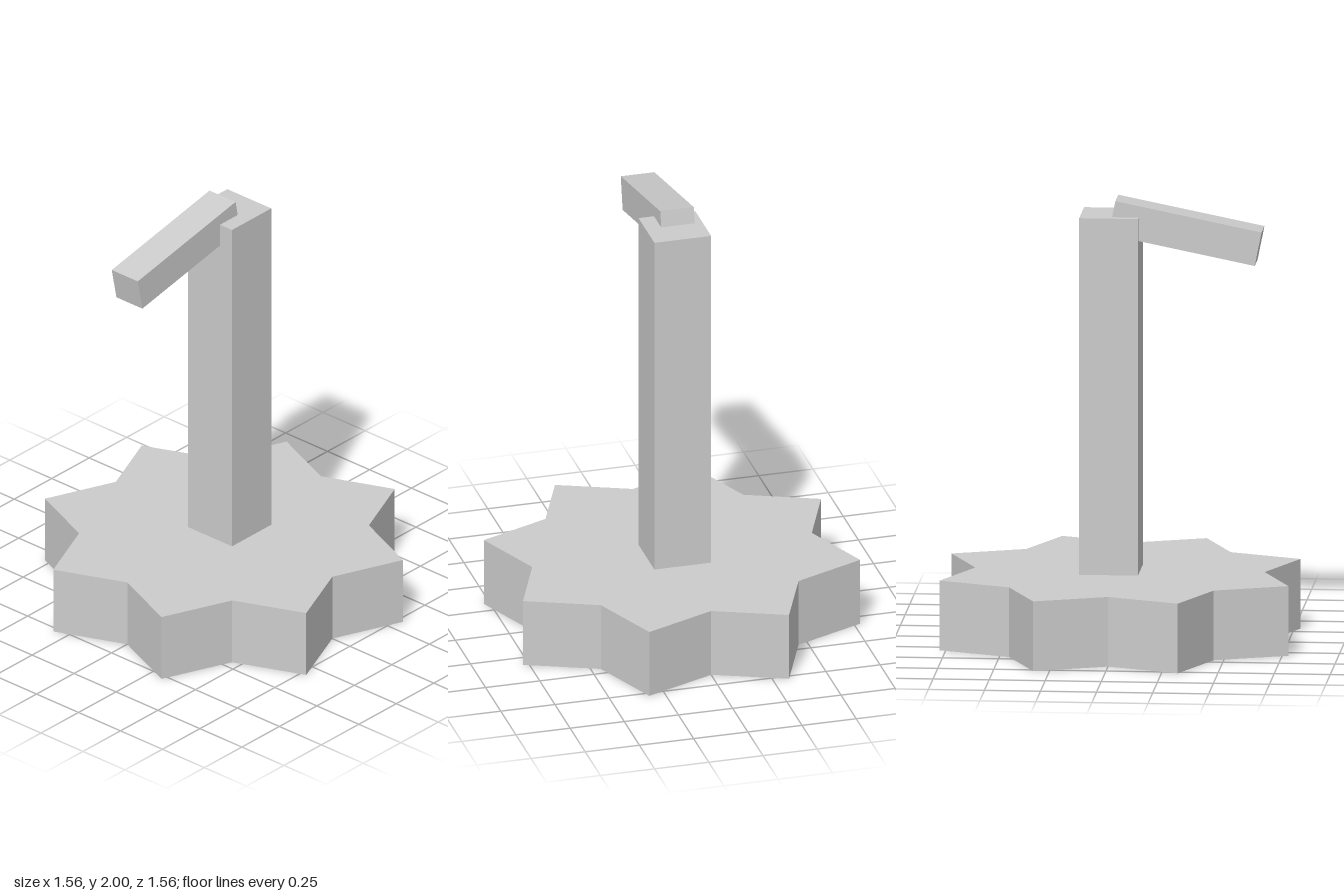
import * as THREE from 'three';

const material = new THREE.MeshStandardMaterial({ color: 0xcccccc, flatShading: true });

function addPart(group, name, geometry, x, y, z) {
  const mesh = new THREE.Mesh(geometry, material);
  mesh.name = name;
  mesh.position.set(x, y, z);
  group.add(mesh);
  return mesh;
}

// Star outline with alternating tip and notch radii
function starShape(points, tipRadius, notchRadius) {
  const corners = [];
  for (let i = 0; i < points * 2; i++) {
    const angle = (i * Math.PI) / points;
    const radius = i % 2 ? tipRadius : notchRadius;
    corners.push(new THREE.Vector2(radius * Math.cos(angle), radius * Math.sin(angle)));
  }
  return new THREE.Shape(corners);
}

export function createModel() {
  const model = new THREE.Group();
  model.name = 'starBasedPost';

  // Eight-pointed base slab, extruded upward
  const baseHeight = 0.315;
  const base = new THREE.ExtrudeGeometry(starShape(8, 0.842, 0.645), {
    depth: baseHeight,
    bevelEnabled: false,
  });
  base.rotateX(-Math.PI / 2);
  addPart(model, 'starBase', base, 0, 0, 0);

  // Square upright post standing on the base
  const postTop = 1.928;
  const postHeight = postTop - baseHeight;
  addPart(model, 'post', new THREE.BoxGeometry(0.262, postHeight, 0.262),
    0.04, baseHeight + postHeight / 2, -0.002);

  // Tilted arm, its inner end sunk into the top of the post
  const arm = addPart(model, 'arm', new THREE.BoxGeometry(0.665, 0.155, 0.155),
    -0.298, 1.859, -0.02);
  arm.rotation.z = THREE.MathUtils.degToRad(11.4);

  return model;
}
